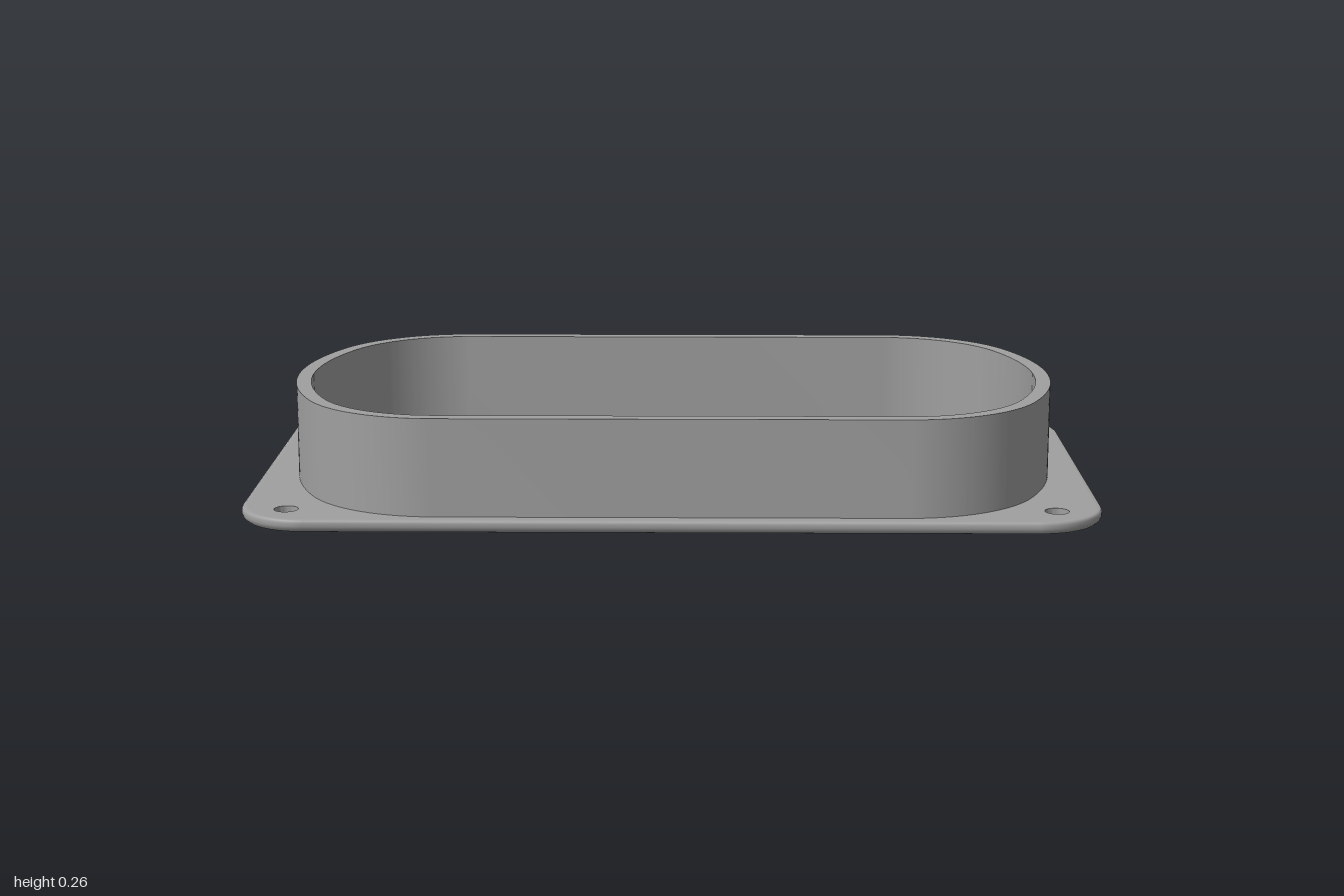
import * as THREE from 'three';
import { toCreasedNormals } from 'three/addons/utils/BufferGeometryUtils.js';

const HX = 1, HZ = 0.556, CORNER = 0.16;   // base plate
const PLATE = 0.03, LOWER = 0.012;         // plate height, depth of grooves and countersinks
const RING_X = 0.424, RING_R = 0.422, DISC_R = 0.407;
const TOP = 0.26;

// Points round a rounded rectangle, moved inwards by d
function plateOutline(d) {
  const pts = [], n = 12, r = CORNER - d;
  const signs = [[1, 1], [-1, 1], [-1, -1], [1, -1]];
  signs.forEach(([sx, sy], q) => {
    for (let i = 0; i <= n; i++) {
      const a = (q + i / n) * Math.PI / 2;
      pts.push(new THREE.Vector2(sx * (HX - CORNER) + r * Math.cos(a), sy * (HZ - CORNER) + r * Math.sin(a)));
    }
  });
  return pts;
}

// Oval of the wall: straight sides, tight corner arcs and gently bowed ends
function wallOutline(d, Type) {
  const R = 0.765 - d, r = 0.34 - d, cx = 0.155, kx = 0.54, kz = 0.18;
  const t = Math.atan2(kz, kx - cx), P = Math.PI;
  const s = new Type();
  s.absarc(cx, 0, R, -t, t);
  s.absarc(kx, kz, r, t, P / 2);
  s.absarc(-kx, kz, r, P / 2, P - t);
  s.absarc(-cx, 0, R, P - t, P + t);
  s.absarc(-kx, -kz, r, P + t, 1.5 * P);
  s.absarc(kx, -kz, r, 1.5 * P, 2 * P - t);
  return s;
}

function circle(x, y, r, Type = THREE.Path) {
  const c = new Type();
  c.absarc(x, y, r, 0, Math.PI * 2);
  return c;
}

// Eleven round-ended vent slots for one side
function slots(side) {
  const half = [0.36, 0.33, 0.295, 0.24, 0.18, 0.127], w = 0.021;
  const list = [];
  for (let i = -5; i <= 5; i++) {
    const x = side * 0.425 - 0.008 + i * 0.068, h = half[Math.abs(i)] - w;
    const p = new THREE.Path();
    p.absarc(x, h, w, 0, Math.PI);
    p.absarc(x, -h, w, Math.PI, Math.PI * 2);
    p.closePath();
    list.push(p);
  }
  return list;
}

export function createModel() {
  const group = new THREE.Group();
  const grey = new THREE.MeshStandardMaterial({ color: 0xa0a0a0 });
  grey.name = 'grey';

  const add = (name, geometry) => {
    const mesh = new THREE.Mesh(geometry, grey);
    mesh.name = name;
    group.add(mesh);
    return mesh;
  };
  // Upright extrusion of a plan shape from y0 to y1
  const slab = (name, shape, y0, y1, curveSegments = 24) => {
    const g = new THREE.ExtrudeGeometry(shape, { depth: y1 - y0, bevelEnabled: false, curveSegments });
    g.rotateX(-Math.PI / 2).translate(0, y0, 0);
    return add(name, toCreasedNormals(g, 0.6));
  };

  const screws = [];
  for (const x of [-0.89, 0.89]) for (const z of [-0.45, 0.45]) screws.push([x, z]);

  // Upper layer of the plate, pierced by slots and screw holes
  const upper = new THREE.Shape(plateOutline(0.015));
  upper.holes.push(...slots(-1), ...slots(1), ...screws.map(([x, z]) => circle(x, z, 0.028)));
  slab('plateUpper', upper, LOWER, PLATE, 16);

  // Lower layer, leaving ring grooves round the two vent discs
  const lower = new THREE.Shape(plateOutline(0.015));
  lower.holes.push(...screws.map(([x, z]) => circle(x, z, 0.046)));
  for (const s of [-1, 1]) lower.holes.push(circle(s * RING_X, 0, RING_R));
  slab('plateLower', lower, 0, LOWER, 32);

  for (const s of [-1, 1]) {
    const side = s < 0 ? 'right' : 'left';
    const disc = circle(s * RING_X, 0, DISC_R, THREE.Shape);
    disc.holes.push(...slots(s));
    slab(side + 'VentDisc', disc, 0, LOWER, 32);

    // Thin raised collar round the vent
    const collar = circle(s * RING_X, 0, RING_R, THREE.Shape);
    collar.holes.push(circle(s * RING_X, 0, DISC_R));
    slab(side + 'VentCollar', collar, PLATE, 0.06, 40);
  }

  // Countersinks under the screw holes
  screws.forEach(([x, z]) => {
    const sink = new THREE.LatheGeometry([new THREE.Vector2(0.028, LOWER), new THREE.Vector2(0.046, 0)], 32);
    add('countersink', sink).position.set(x, 0, z);
  });

  // Rounded plate edge, lofted from inset outlines
  const profile = [[0.015, 0], [0.008, 0.002], [0.002, 0.008], [0, 0.015], [0, 0.023], [0.002, 0.028], [0.006, 0.03], [0.015, 0.03]];
  const pos = [], index = [];
  let n = 0;
  profile.forEach(([d, h], j) => {
    const pts = plateOutline(d);
    n = pts.length;
    pts.forEach((p, i) => {
      pos.push(p.x, h, -p.y);
      if (j === profile.length - 1) return;
      const a = j * n + i, b = j * n + (i + 1) % n;
      index.push(a, b, a + n, b, b + n, a + n);
    });
  });
  const edge = new THREE.BufferGeometry();
  edge.setAttribute('position', new THREE.Float32BufferAttribute(pos, 3));
  edge.setIndex(index);
  edge.computeVertexNormals();
  add('plateEdge', edge);

  // Tall oval wall
  const wall = wallOutline(0, THREE.Shape);
  wall.holes.push(wallOutline(0.036, THREE.Path));
  slab('wall', wall, PLATE, TOP, 20);

  return group;
}
